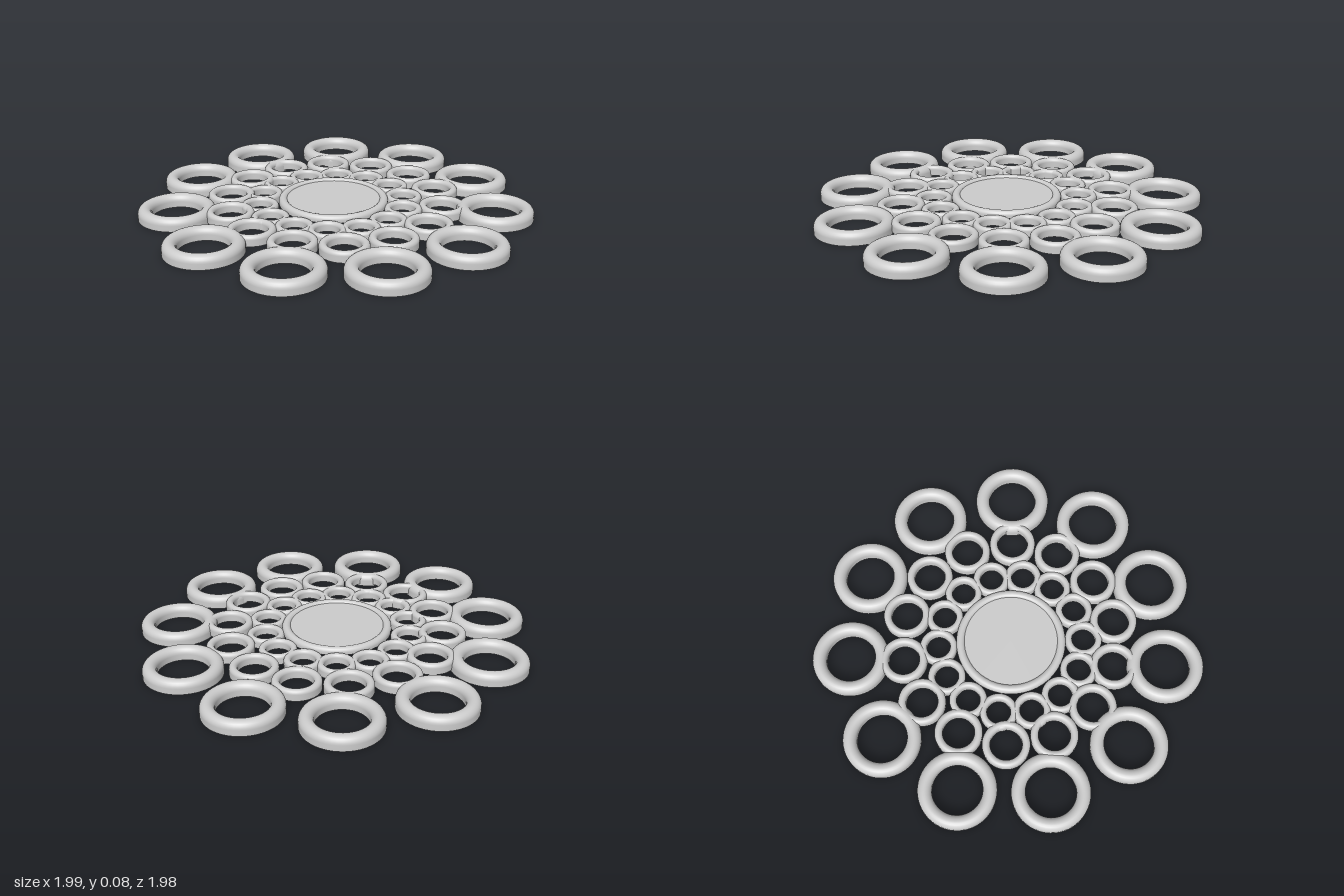
import * as THREE from 'three';

const material = new THREE.MeshStandardMaterial({ color: 0xcccccc, side: THREE.DoubleSide });

// Hollow ring open underneath: two upright walls joined by a half-round top
function ringGeometry(inner, outer, bottom, top) {
  const tube = (outer - inner) / 2;
  const mid = (outer + inner) / 2;
  const points = [new THREE.Vector2(outer, bottom)];
  for (let i = 0; i <= 12; i++) {
    const a = (i / 12) * Math.PI;
    points.push(new THREE.Vector2(mid + tube * Math.cos(a), top - tube + tube * Math.sin(a)));
  }
  points.push(new THREE.Vector2(inner, bottom));
  return new THREE.LatheGeometry(points, 48);
}

// Evenly spaced circle of rings; start angle is measured from +z towards +x
function ringCircle(name, count, radius, startDeg, cx, cz, geometry) {
  const group = new THREE.Group();
  group.name = name + 's';
  for (let i = 0; i < count; i++) {
    const a = THREE.MathUtils.degToRad(startDeg) + (i / count) * Math.PI * 2;
    const ring = new THREE.Mesh(geometry, material);
    ring.name = name;
    ring.position.set(cx + radius * Math.sin(a), 0, cz + radius * Math.cos(a));
    group.add(ring);
  }
  return group;
}

export function createModel() {
  const model = new THREE.Group();
  model.name = 'ringMedallion';

  model.add(ringCircle('outerRing', 11, 0.81, 0, -0.002, -0.02, ringGeometry(0.125, 0.195, 0, 0.065)));
  model.add(ringCircle('middleRing', 14, 0.548, -4.9, -0.003, -0.014, ringGeometry(0.08, 0.12, 0.01, 0.063)));
  model.add(ringCircle('innerRing', 14, 0.372, 90, -0.016, -0.003, ringGeometry(0.06, 0.095, 0.012, 0.06)));

  // Central plate with a raised rounded rim
  const centre = new THREE.Group();
  centre.name = 'centrePlate';
  centre.position.set(-0.011, 0, -0.005);
  const rim = new THREE.Mesh(ringGeometry(0.235, 0.28, 0.04, 0.075), material);
  rim.name = 'plateRim';
  centre.add(rim);
  for (const [name, radius, y, tilt] of [['plateTop', 0.24, 0.064, -1], ['plateUnderside', 0.27, 0.045, 1]]) {
    const disc = new THREE.Mesh(new THREE.CircleGeometry(radius, 48), material);
    disc.name = name;
    disc.rotation.x = tilt * Math.PI / 2;
    disc.position.y = y;
    centre.add(disc);
  }
  model.add(centre);
  return model;
}
